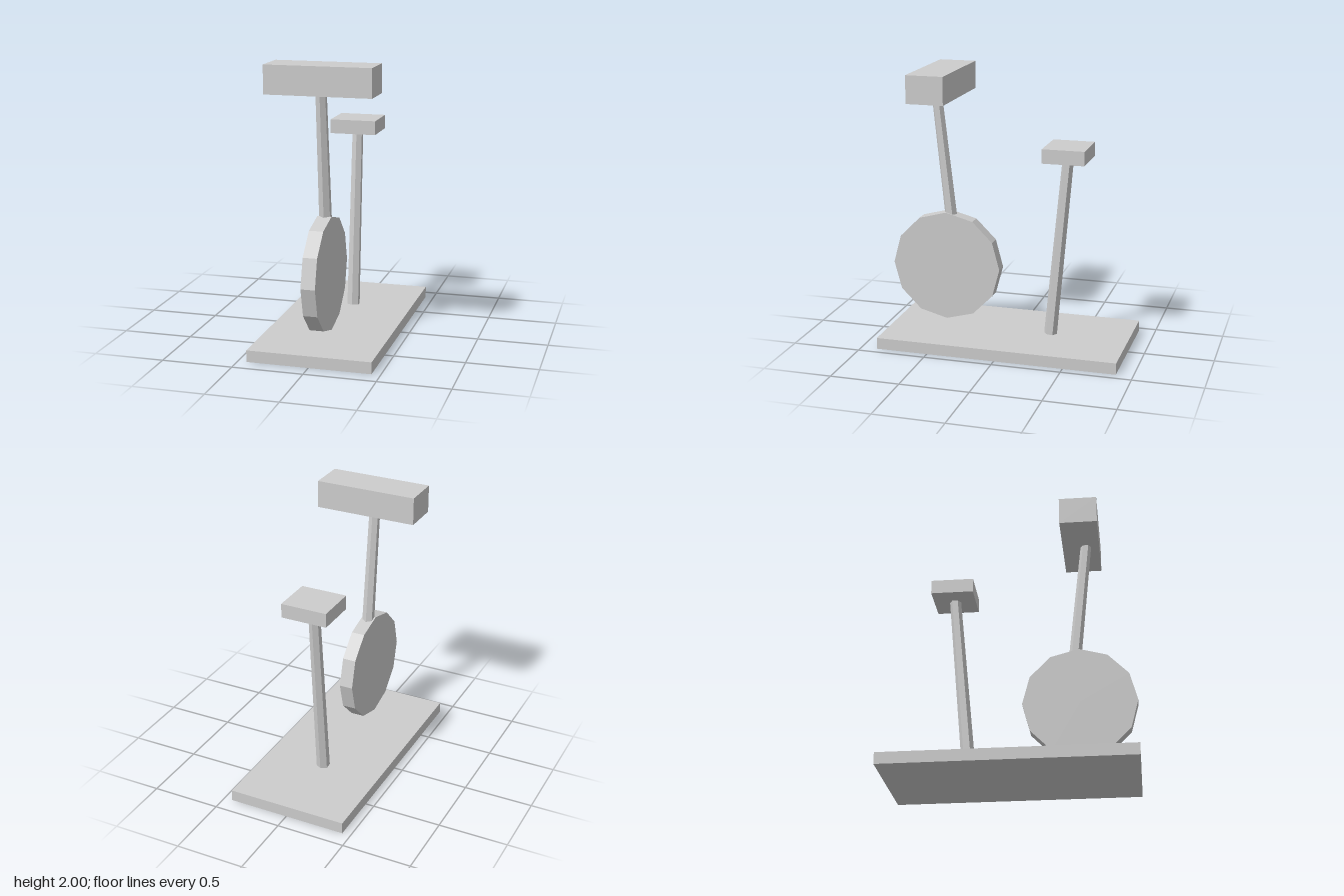
import * as THREE from 'three';

export function createModel() {
  const model = new THREE.Group();
  model.name = 'exerciseBike';
  const grey = new THREE.MeshStandardMaterial({ color: 0xcccccc, flatShading: true });
  grey.name = 'light grey';

  function add(name, geometry, x, y, z) {
    const mesh = new THREE.Mesh(geometry, grey);
    mesh.name = name;
    mesh.position.set(x, y, z);
    model.add(mesh);
    return mesh;
  }

  // Hexagonal, slightly tapered post leaning in the YZ plane
  function post(name, [y0, z0], [y1, z1], rTop, rBottom) {
    const length = Math.hypot(y1 - y0, z1 - z0);
    const geometry = new THREE.CylinderGeometry(rTop, rBottom, length, 6);
    const mesh = add(name, geometry, 0, (y0 + y1) / 2, (z0 + z1) / 2);
    mesh.rotation.x = Math.atan2(z1 - z0, y1 - y0);
  }

  // Floor plate
  add('base', new THREE.BoxGeometry(0.876, 0.083, 1.76), 0, 0.0415, 0);

  // Twelve-sided flywheel with its axle along x
  const wheel = new THREE.CylinderGeometry(0.405, 0.405, 0.1, 12).rotateZ(Math.PI / 2);
  add('flywheel', wheel, 0, 0.546, 0.475);

  // Handlebar on its post
  post('handlebarPost', [0.9, 0.446], [1.82, 0.546], 0.039, 0.045);
  add('handlebar', new THREE.BoxGeometry(0.746, 0.2, 0.27), 0, 1.9, 0.508);

  // Seat on its post
  post('seatPost', [0.087, -0.305], [1.396, -0.422], 0.041, 0.048);
  add('seat', new THREE.BoxGeometry(0.336, 0.102, 0.304), 0, 1.443, -0.424);

  return model;
}
